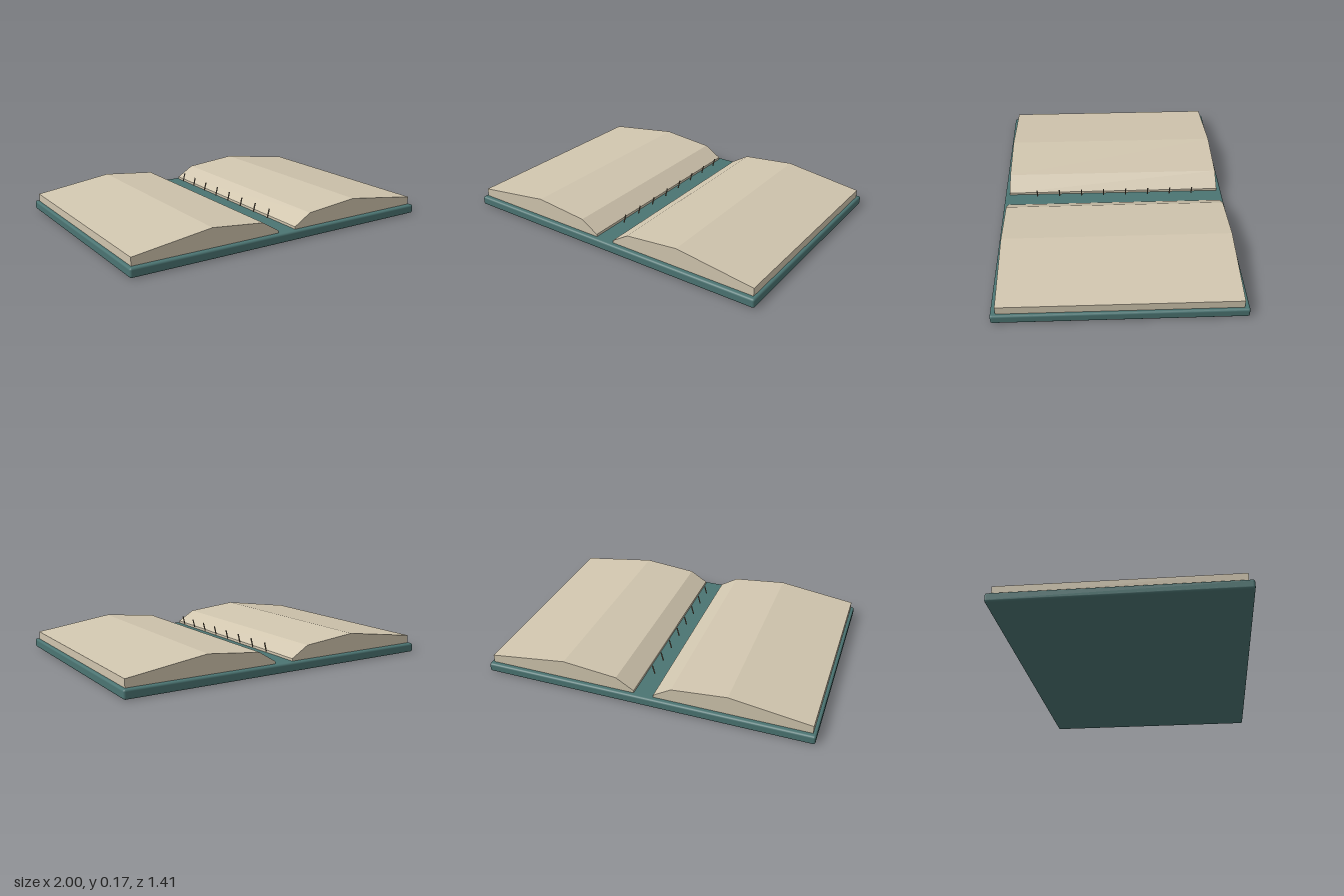
import * as THREE from 'three';
import { RoundedBoxGeometry } from 'three/addons/geometries/RoundedBoxGeometry.js';

export function createModel() {
  const book = new THREE.Group();
  book.name = 'openBook';

  const material = (name, color) => {
    const m = new THREE.MeshStandardMaterial({ color });
    m.name = name;
    return m;
  };
  const teal = material('teal cover', 0x4b7472);
  const cream = material('cream paper', 0xd0c5ae);
  const thread = material('binding thread', 0x857862);

  const add = (name, geometry, mat, x, y, z) => {
    const mesh = new THREE.Mesh(geometry, mat);
    mesh.name = name;
    mesh.position.set(x, y, z);
    book.add(mesh);
    return mesh;
  };

  // Flat cover with softened edges
  const coverHeight = 0.054;
  add('cover', new RoundedBoxGeometry(2, coverHeight, 1.41, 2, 0.012), teal, 0, coverHeight / 2, 0);

  // Two mirrored page blocks, swelling up from the gutter and sloping to the fore edge
  const profile = [[0.06, 0.05], [0.98, 0.05], [0.98, 0.102], [0.5, 0.168], [0.168, 0.135], [0.06, 0.069]];
  const depth = 1.35;
  for (const side of [1, -1]) {
    const shape = new THREE.Shape(profile.map(([x, y]) => new THREE.Vector2(side * x, y)));
    const pages = new THREE.ExtrudeGeometry(shape, { depth, bevelEnabled: false });
    add(side > 0 ? 'leftPages' : 'rightPages', pages, cream, 0, 0, -depth / 2);
  }

  // Row of small leaning stitches along the gutter
  const stitch = new THREE.CylinderGeometry(0.004, 0.004, 0.055, 6);
  for (let i = 0; i < 8; i++) {
    add('stitch' + (i + 1), stitch, thread, 0.004, 0.111, (i - 3.5) * 0.1415 - 0.004).rotation.z = -0.25;
  }

  return book;
}
